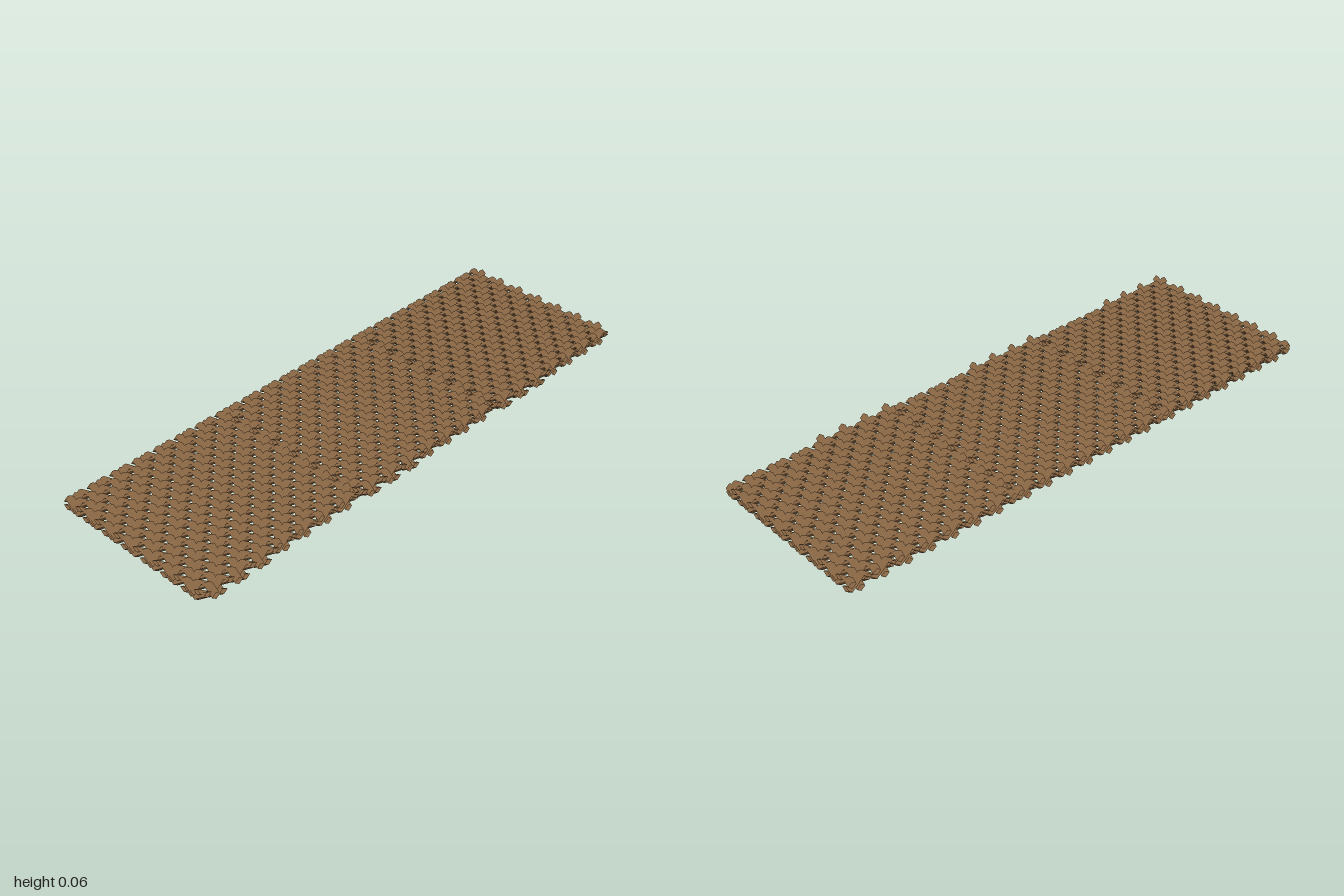
import * as THREE from 'three';
import { mergeGeometries } from 'three/addons/utils/BufferGeometryUtils.js';

const PANELS = 3, WARPS = 22, WEFTS = 21;
const PANEL_W = 2 / PANELS;
const DX = PANEL_W / WARPS;          // spacing of strands running front to back
const DZ = 0.665 / (WEFTS + 0.5);    // spacing of strands running side to side
const Z0 = -0.3325;
const MID = 0.0315, AMP = 0.0195, RIDGE = 0.012;

// Three-strand twill: triangle wave between -1 and 1
const wave = (p) => {
  const t = (((p % 3) + 3) % 3) / 1.5;
  return t < 1 ? 1 - 2 * t : 2 * t - 3;
};

// Diamond-section strand; place(k, side) gives [x, z], height(k) its centre line
function strand(steps, place, height) {
  const pos = [], nor = [], idx = [];
  for (const face of [1, -1]) {
    const base = pos.length / 3;
    for (let k = 0; k <= steps; k++) {
      for (const c of [-1, 0, 1]) {
        const [x, z] = place(k / 2, c * face);
        pos.push(x, height(k / 2) + (c === 0 ? RIDGE * face : 0), z);
        nor.push(0, face, 0);
      }
    }
    for (let k = 0; k < steps; k++) {
      for (let c = 0; c < 2; c++) {
        const a = base + k * 3 + c;
        idx.push(a, a + 1, a + 3, a + 1, a + 4, a + 3);
      }
    }
  }
  const g = new THREE.BufferGeometry();
  g.setAttribute('position', new THREE.Float32BufferAttribute(pos, 3));
  g.setAttribute('normal', new THREE.Float32BufferAttribute(nor, 3));
  g.setIndex(idx);
  return g;
}

export function createModel() {
  const model = new THREE.Group();
  model.name = 'wovenMat';
  const straw = new THREE.MeshStandardMaterial({ color: 0x8b6845, side: THREE.DoubleSide });
  straw.name = 'brown straw';

  // Strands running front to back; the first ten stick out at the front
  const warps = [];
  for (let i = 0; i < WARPS; i++) {
    const x = (i + 0.5) * DX;
    const steps = WEFTS * 2 + (i < 10 ? 1 : 0);
    warps.push(strand(steps,
      (k, s) => [x - s * DX / 2, Z0 + k * DZ],
      (k) => MID + AMP * wave(i + k - 0.5)));
  }
  // Strands running side to side, up where the others are down
  const wefts = [];
  for (let j = 0; j < WEFTS; j++) {
    const z = Z0 + (j + 0.5) * DZ;
    wefts.push(strand(WARPS * 2,
      (k, s) => [k * DX, z + s * DZ / 2],
      (k) => MID - AMP * wave(j + k - 0.5)));
  }
  const warpGeometry = mergeGeometries(warps);
  const weftGeometry = mergeGeometries(wefts);

  // Three equal panels side by side
  for (let p = 0; p < PANELS; p++) {
    const panel = new THREE.Group();
    panel.name = 'matPanel' + (p + 1);
    panel.position.x = -1 + p * PANEL_W;
    const warp = new THREE.Mesh(warpGeometry, straw);
    warp.name = 'lengthwiseStrands';
    const weft = new THREE.Mesh(weftGeometry, straw);
    weft.name = 'crosswiseStrands';
    panel.add(warp, weft);
    model.add(panel);
  }
  return model;
}
